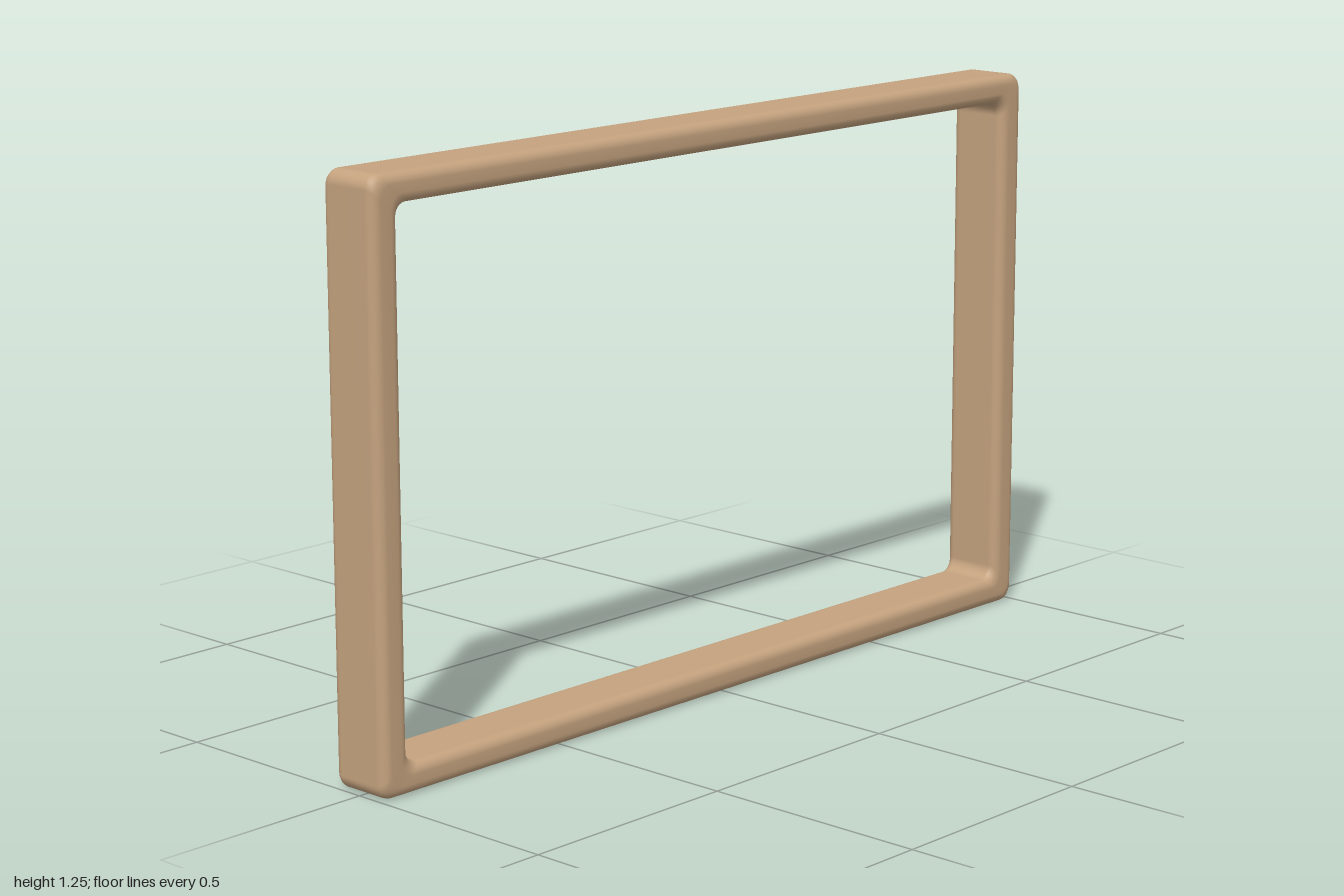
import * as THREE from 'three';

// Points of a rounded rectangle, each as corner signs plus the arc angle
function roundedCorners(steps) {
  const points = [];
  [[1, 1], [-1, 1], [-1, -1], [1, -1]].forEach(([su, sv], q) => {
    for (let k = 0; k <= steps; k++) {
      const a = (q + k / steps) * Math.PI / 2;
      points.push({ su, sv, cos: Math.cos(a), sin: Math.sin(a) });
    }
  });
  return points;
}

// Rounded bar profile swept around a rounded rectangle in the zy plane
function frameGeometry({ halfZ, halfY, halfX, barZ, barY, corner, edge }) {
  const outline = roundedCorners(6);
  const profile = roundedCorners(5);
  const positions = [], index = [];
  const n = profile.length, m = outline.length;
  outline.forEach((o, i) => {
    profile.forEach((p, j) => {
      // inset from the outer face for each bar direction, and depth across the bar
      const inset = bar => bar / 2 - p.su * (bar / 2 - edge) - p.cos * edge;
      const x = p.sv * (halfX - edge) + p.sin * edge;
      const y = o.sv * (halfY - inset(barY) - corner) + o.sin * corner;
      const z = o.su * (halfZ - inset(barZ) - corner) + o.cos * corner;
      positions.push(x, y + halfY, z);
      const i2 = (i + 1) % m, j2 = (j + 1) % n;
      const a = i * n + j, b = i * n + j2, c = i2 * n + j2, d = i2 * n + j;
      index.push(a, b, d, b, c, d);
    });
  });
  const geometry = new THREE.BufferGeometry();
  geometry.setAttribute('position', new THREE.Float32BufferAttribute(positions, 3));
  geometry.setIndex(index);
  geometry.computeVertexNormals();
  return geometry;
}

export function createModel() {
  const group = new THREE.Group();
  group.name = 'rectangularFrame';
  const wood = new THREE.MeshStandardMaterial({ color: 0xc4a27e });
  const frame = new THREE.Mesh(frameGeometry({
    halfZ: 1, halfY: 0.623, halfX: 0.073,
    barZ: 0.07, barY: 0.063, corner: 0.03, edge: 0.022,
  }), wood);
  frame.name = 'frame';
  group.add(frame);
  return group;
}
